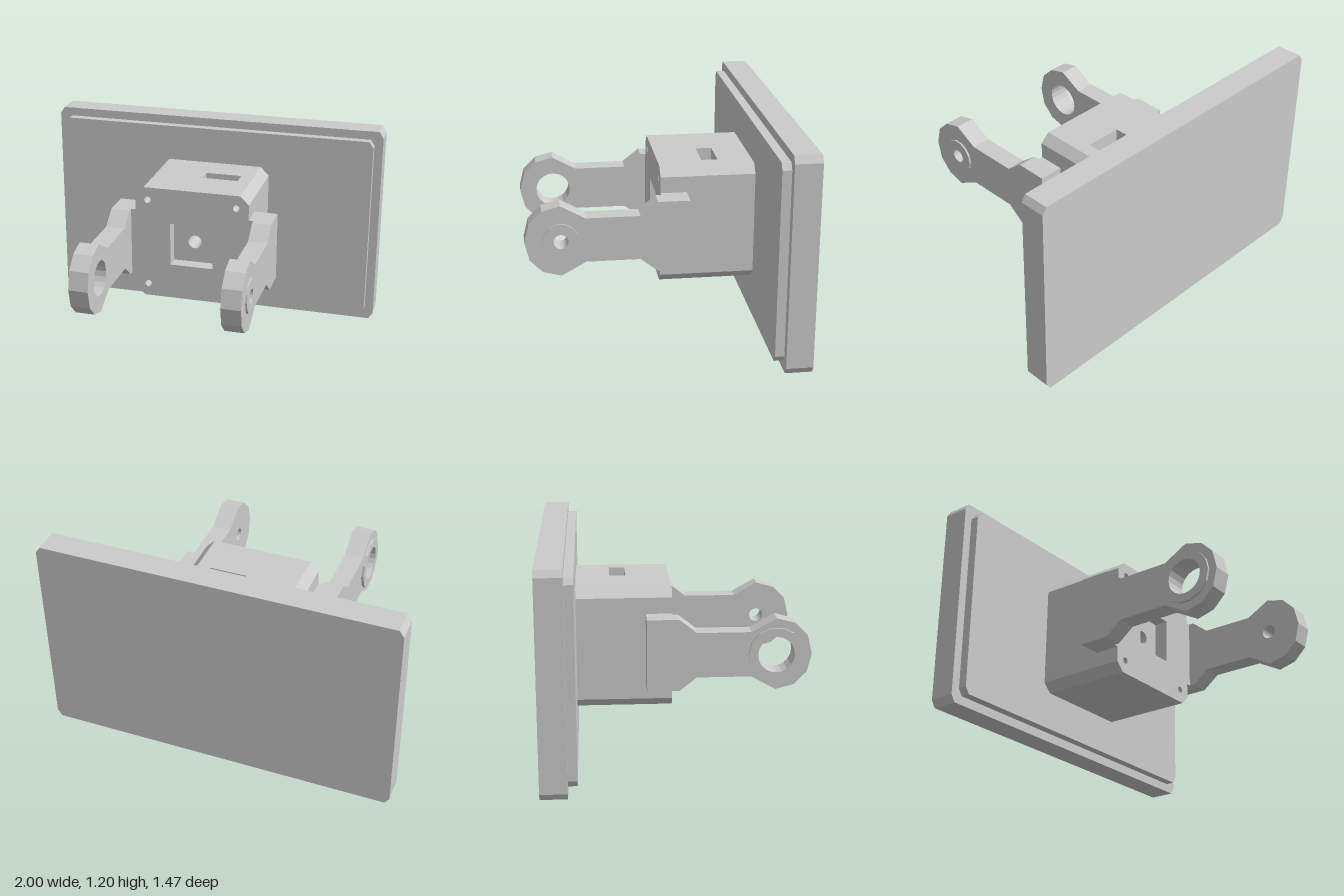
import * as THREE from 'three';

const material = new THREE.MeshStandardMaterial({ color: 0xcccccc, flatShading: true });
const MID = 0.6; // height of the pivot axis

const toPoints = (list) => list.map(([a, b]) => new THREE.Vector2(a, b));

// Regular polygon outline, used for bosses and round holes
function ring(cx, cy, r, sides) {
  return Array.from({ length: sides }, (_, i) => {
    const a = (i / sides) * Math.PI * 2;
    return [cx + r * Math.cos(a), cy + r * Math.sin(a)];
  });
}

// Rectangle with cut corners; an optional notch is let into the top edge
function chamferedRect(w, y0, y1, cx, cy, notch = []) {
  return [
    [-w + cx, y0], [w - cx, y0], [w, y0 + cy], [w, y1 - cy],
    [w - cx, y1], ...notch, [-w + cx, y1], [-w, y1 - cy], [-w, y0 + cy],
  ];
}

function extrude(outline, holes, depth) {
  const shape = new THREE.Shape(toPoints(outline));
  holes.forEach((h) => shape.holes.push(new THREE.Path(toPoints(h))));
  return new THREE.ExtrudeGeometry(shape, { depth, bevelEnabled: false });
}

// Slab in the xy plane between z0 and z1
function slab(name, outline, holes, z0, z1) {
  const mesh = new THREE.Mesh(extrude(outline, holes, z1 - z0).translate(0, 0, z0), material);
  mesh.name = name;
  return mesh;
}

// Profile given as (z, y), extruded between x0 and x1
function sidePlate(name, outline, holes, x0, x1) {
  const geometry = extrude(outline, holes, x1 - x0).rotateY(-Math.PI / 2).translate(x1, 0, 0);
  const mesh = new THREE.Mesh(geometry, material);
  mesh.name = name;
  return mesh;
}

// Housing in slices, so that the front pocket and top slot are real recesses
function createHousing() {
  const housing = new THREE.Group();
  housing.name = 'housing';
  const outline = (notch) => chamferedRect(0.335, 0.265, 0.94, 0.05, 0.05, notch);
  const pocket = [[-0.127, 0.475], [0.127, 0.475], [0.127, 0.73], [-0.127, 0.73]];
  const screwHoles = [];
  for (const x of [-0.262, 0.262]) {
    for (const y of [0.34, 0.865]) screwHoles.push(ring(x, y, 0.02, 16));
  }
  const slot = [[0.21, 0.94], [0.21, 0.86], [0, 0.86], [0, 0.94]];
  housing.add(
    slab('housingFront', outline(), [pocket, ...screwHoles], -0.095, -0.015),
    slab('housingMiddle', outline(), [ring(0, MID, 0.04, 24)], -0.26, -0.095),
    slab('housingSlotSection', outline(slot), [], -0.35, -0.26),
    slab('housingRear', outline(), [], -0.54, -0.35),
  );
  return housing;
}

// Arm with a rounded eye; side is +1 or -1
function createArm(name, side, holeRadius, bossRadius, bossHeight) {
  const arm = new THREE.Group();
  arm.name = name;
  const upper = [
    [-0.16, 0.2], [0.015, 0.2], [0.11, 0.125], [0.405, 0.125],
    [0.54, 0.2], [0.64, 0.173], [0.71, 0.103],
  ];
  const outline = [
    ...upper.map(([z, y]) => [z, MID + y]),
    [0.735, MID],
    ...upper.map(([z, y]) => [z, MID - y]).reverse(),
  ];
  const hole = ring(0.54, MID, holeRadius, 20);
  const foot = [[-0.16, 0.4], [-0.015, 0.4], [-0.015, 0.8], [-0.16, 0.8]];
  const span = (a, b) => (side > 0 ? [a, b] : [-b, -a]);
  arm.add(
    sidePlate('armPlate', outline, [hole], ...span(0.362, 0.472)),
    sidePlate('eyeBoss', ring(0.54, MID, bossRadius, 14), [hole], ...span(0.472, 0.472 + bossHeight)),
    sidePlate('armFoot', foot, [], ...span(0.335, 0.362)),
  );
  return arm;
}

export function createModel() {
  const model = new THREE.Group();
  model.name = 'bracketMount';
  model.add(
    slab('backPlate', chamferedRect(1, 0, 1.2, 0.025, 0.038), [], -0.735, -0.59),
    slab('raisedPanel', chamferedRect(0.95, 0.05, 1.15, 0.025, 0.036), [], -0.59, -0.54),
    createHousing(),
    createArm('leftArm', 1, 0.04, 0.1, 0.01),
    createArm('rightArm', -1, 0.1, 0.15, 0.015),
  );
  return model;
}
